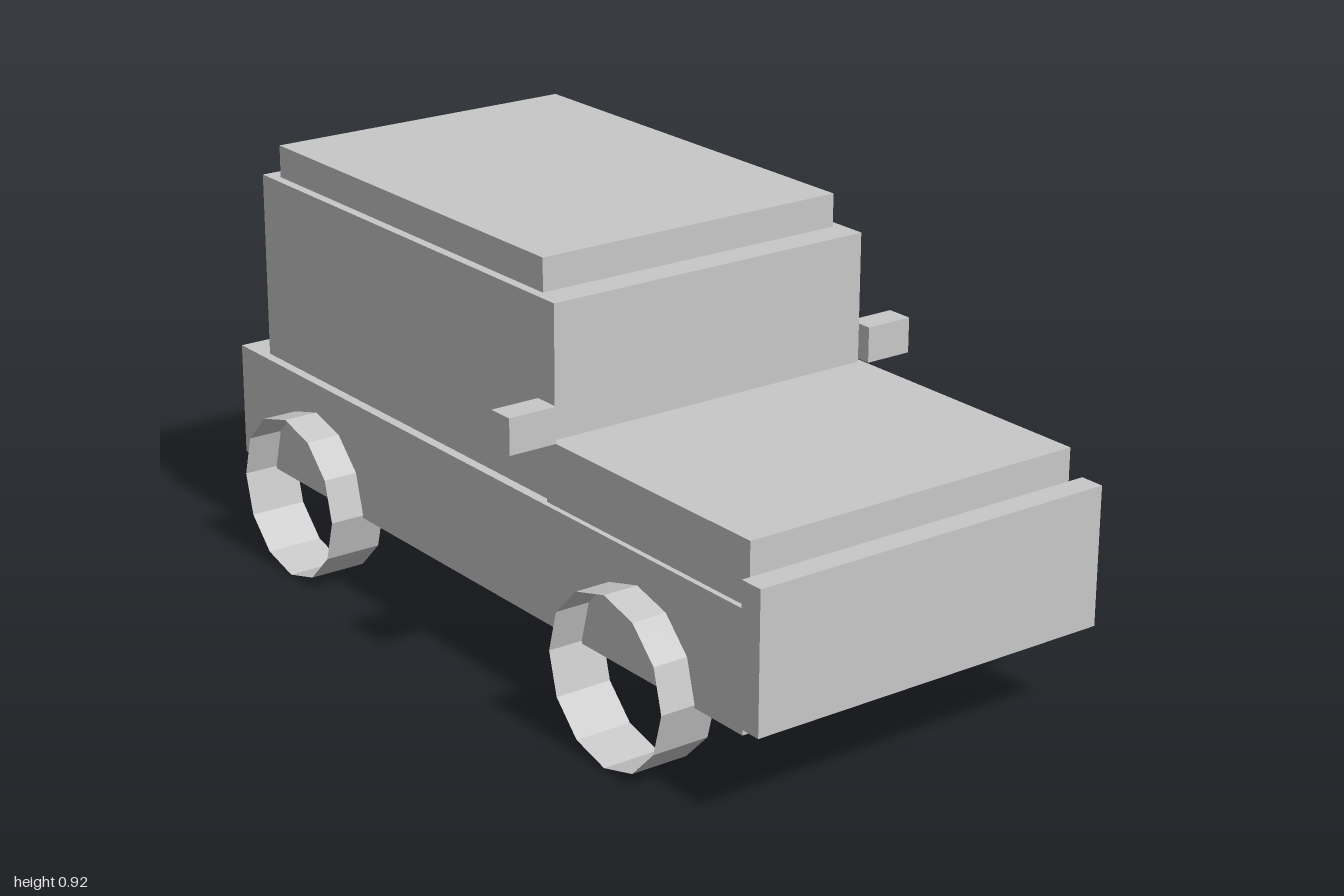
import * as THREE from 'three';

export function createModel() {
  const group = new THREE.Group();
  group.name = 'offRoadCar';
  const grey = new THREE.MeshStandardMaterial({ color: 0xc8c8c8, flatShading: true, side: THREE.DoubleSide });
  grey.name = 'light grey';

  // Box given by its lower and upper bounds on each axis
  function box(name, [x0, x1], [y0, y1], [z0, z1]) {
    const mesh = new THREE.Mesh(new THREE.BoxGeometry(x1 - x0, y1 - y0, z1 - z0), grey);
    mesh.position.set((x0 + x1) / 2, (y0 + y1) / 2, (z0 + z1) / 2);
    mesh.name = name;
    group.add(mesh);
  }

  // Body
  box('chassis', [-0.412, 0.412], [0.177, 0.433], [-0.89, 0.935]);
  box('hood', [-0.4, 0.4], [0.433, 0.566], [0.29, 0.935]);
  box('cabin', [-0.39, 0.39], [0.433, 0.85], [-0.803, 0.305]);
  box('roof', [-0.369, 0.369], [0.85, 0.922], [-0.762, 0.238]);
  box('frontGrille', [-0.427, 0.427], [0.2, 0.5], [0.945, 1]);
  box('spareWheelCase', [-0.152, 0.152], [0.305, 0.61], [-1, -0.903]);

  // Side mirrors
  box('leftMirror', [0.401, 0.512], [0.567, 0.645], [0.264, 0.325]);
  box('rightMirror', [-0.512, -0.401], [0.567, 0.645], [0.264, 0.325]);

  // Wheels: open twelve-sided rims
  const r = 0.183;
  const rim = new THREE.CylinderGeometry(r, r, 0.13, 12, 1, true).rotateZ(Math.PI / 2);
  for (const [end, z] of [['front', 0.606], ['rear', -0.572]]) {
    for (const [side, s] of [['Left', 1], ['Right', -1]]) {
      const wheel = new THREE.Mesh(rim, grey);
      wheel.position.set(s * 0.426, r, z);
      wheel.name = `${end}${side}Wheel`;
      group.add(wheel);
    }
  }
  return group;
}
